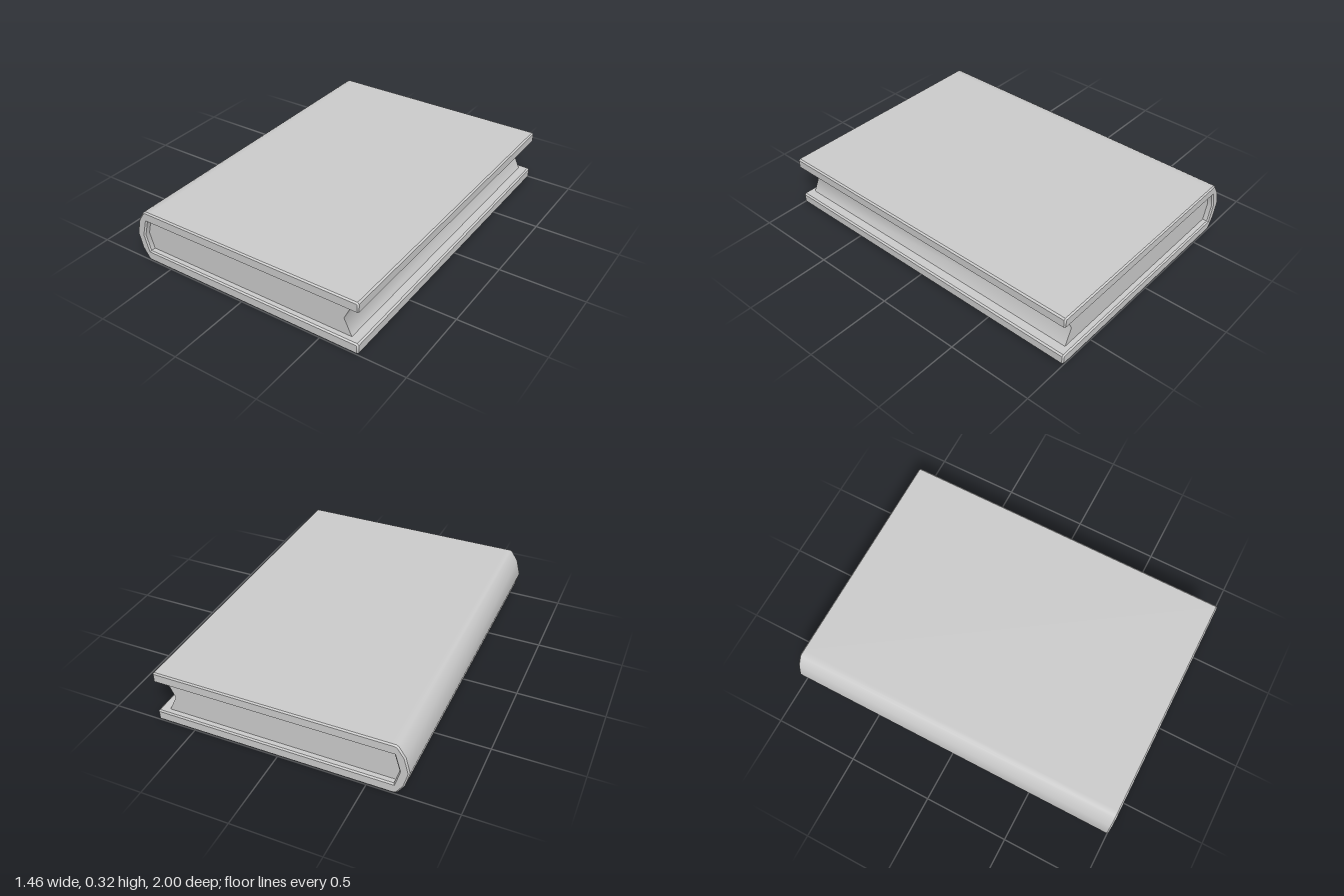
import * as THREE from 'three';
import { toCreasedNormals } from 'three/addons/utils/BufferGeometryUtils.js';

const MID = 0.16; // half of the book's thickness

// Completes a profile by mirroring its upper half [x, height above middle] to the lower half
function mirroredShape(upper) {
  const lower = upper.filter(([, h]) => h > 0).map(([x, h]) => [x, -h]).reverse();
  // the first upper point may lie on the middle line, closing the loop there
  return new THREE.Shape([...upper, ...lower].map(([x, h]) => new THREE.Vector2(x, MID + h)));
}

// Extrudes a profile along z, centred on z = 0
function extrudeCentred(shape, length, bevel, crease) {
  const geo = new THREE.ExtrudeGeometry(shape, {
    depth: length - 2 * bevel,
    bevelEnabled: bevel > 0,
    bevelThickness: bevel,
    bevelSize: bevel,
    bevelOffset: -bevel,
    bevelSegments: 1,
  });
  geo.translate(0, 0, -(length - 2 * bevel) / 2);
  return toCreasedNormals(geo, crease);
}

export function createModel() {
  const book = new THREE.Group();
  book.name = 'book';
  const material = new THREE.MeshStandardMaterial({ color: 0xcccccc });

  // Cover: two boards joined by a faceted, softly shaded spine
  const coverShape = mirroredShape([
    [-0.672, 0], [-0.645, 0.096], [0.718, 0.096], [0.7275, 0.104],
    [0.7275, 0.152], [0.718, 0.16], [-0.62, 0.16], [-0.65, 0.16],
    [-0.664, 0.153], [-0.703, 0.094], [-0.7275, 0],
  ]);
  const cover = new THREE.Mesh(extrudeCentred(coverShape, 2, 0.008, 0.68), material);
  cover.name = 'cover';

  // Page block: rounded at the spine, hollowed along the fore edge
  const pageShape = mirroredShape([
    [0.623, 0], [0.669, 0.096], [-0.645, 0.096], [-0.672, 0],
  ]);
  const pages = new THREE.Mesh(extrudeCentred(pageShape, 1.93, 0, 1.05), material);
  pages.name = 'pages';

  book.add(cover, pages);
  return book;
}
